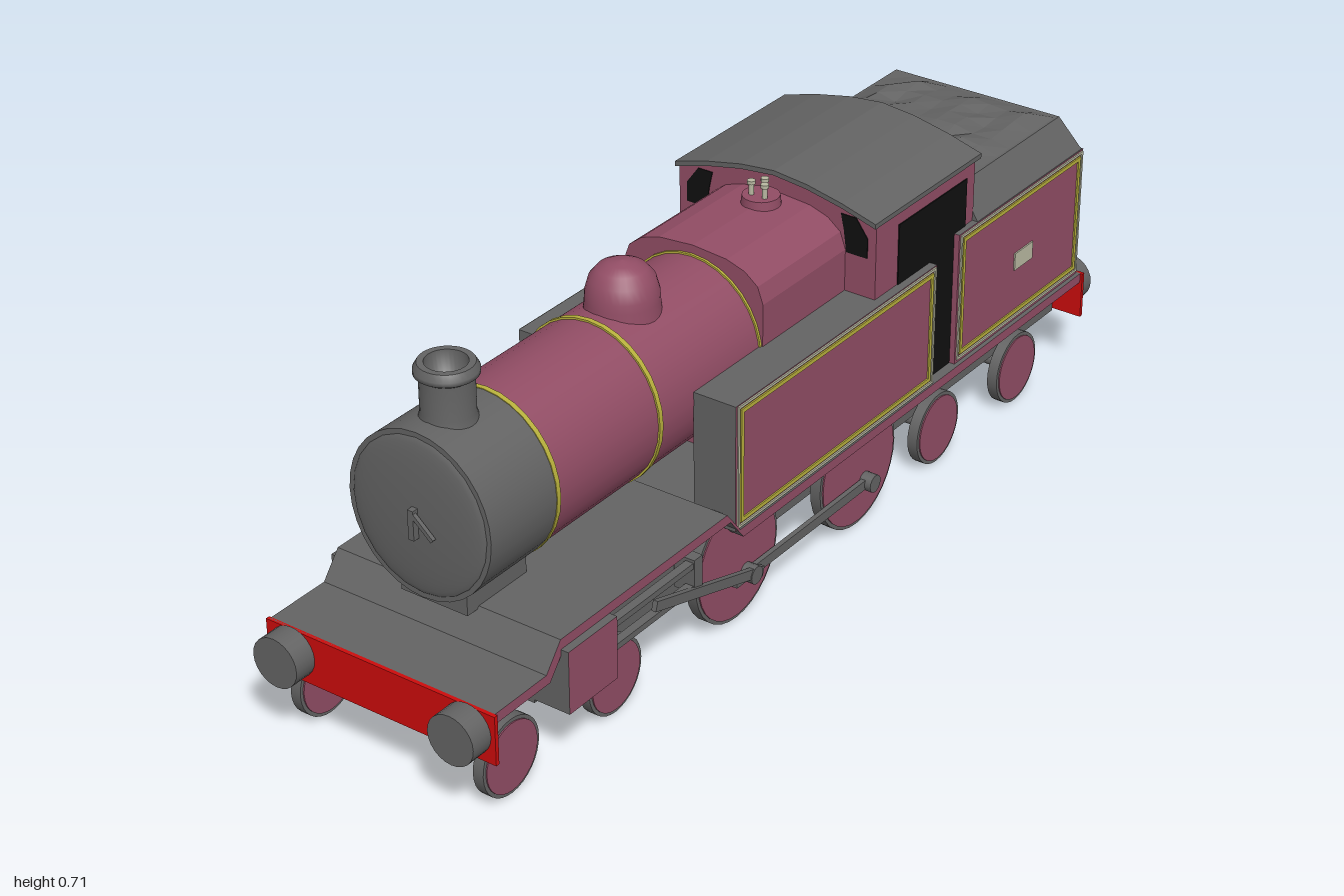
import * as THREE from 'three';

const mat = (name, color) => {
  const m = new THREE.MeshStandardMaterial({ color });
  m.name = name;
  return m;
};

export function createModel() {
  const model = new THREE.Group();
  model.name = 'tankLocomotive';
  const maroon = mat('maroon paint', 0x924d65);
  const grey = mat('grey metal', 0x636363);
  const red = mat('red buffer beam', 0xcc0c0c);
  const yellow = mat('yellow lining', 0xb8b03c);
  const pale = mat('pale lining', 0xb9b9a2);
  const black = mat('black interior', 0x101010);

  const add = (name, geo, material, x = 0, y = 0, z = 0) => {
    const m = new THREE.Mesh(geo, material);
    m.name = name;
    m.position.set(x, y, z);
    model.add(m);
    return m;
  };
  // box given by its limits on each axis
  const box = (name, material, x0, x1, y0, y1, z0, z1) =>
    add(name, new THREE.BoxGeometry(Math.abs(x1 - x0), y1 - y0, z1 - z0), material,
      (x0 + x1) / 2, (y0 + y1) / 2, (z0 + z1) / 2);
  const shape = (pts) => new THREE.Shape(pts.map(([a, b]) => new THREE.Vector2(a, b)));
  const extrude = (s, depth) => new THREE.ExtrudeGeometry(s, { depth, bevelEnabled: false });
  // (z, y) profile extruded across the model between x0 and x1
  const across = (pts, x0, x1) =>
    extrude(shape(pts), x1 - x0).rotateY(-Math.PI / 2).translate(x1, 0, 0);
  // thin rectangular outline facing +z
  const outline = (w, h, t) => {
    const r = (a, b) => [[-a, -b], [a, -b], [a, b], [-a, b]];
    const s = shape(r(w / 2, h / 2));
    s.holes.push(new THREE.Path(r(w / 2 - t, h / 2 - t).map(([a, b]) => new THREE.Vector2(a, b))));
    return extrude(s, 0.003);
  };
  const lining = (name, w, h, x, y, z, turn) => {
    add(name + 'PaleLine', outline(w, h, 0.005), pale, x, y, z).rotation.y = turn;
    add(name + 'YellowLine', outline(w - 0.018, h - 0.018, 0.008), yellow, x, y, z).rotation.y = turn;
  };

  // footplate with raised front section, maroon edges
  add('footplate', across([[-0.95, 0.2], [0.24, 0.2], [0.28, 0.25], [0.76, 0.25], [0.8, 0.2], [0.95, 0.2],
    [0.95, 0.22], [0.81, 0.22], [0.77, 0.27], [0.29, 0.27], [0.25, 0.22], [-0.95, 0.22]], -0.245, 0.245), [maroon, grey]);
  box('frame', grey, -0.185, 0.185, 0.117, 0.201, -0.945, 0.77);
  box('raisedFrame', grey, -0.185, 0.185, 0.2, 0.252, 0.27, 0.765);

  // buffer beams and buffers at both ends
  for (const e of [1, -1]) {
    box(e > 0 ? 'frontBeam' : 'rearBeam', red, -0.25, 0.25, 0.122, 0.22, e * 0.95 - 0.004, e * 0.95 + 0.004);
    for (const s of [1, -1]) {
      add('buffer', new THREE.CylinderGeometry(0.049, 0.049, 0.046, 24).rotateX(Math.PI / 2), grey, s * 0.192, 0.176, e * 0.977);
    }
  }

  // boiler, smokebox and bands share one oval section
  const CY = 0.454;
  const barrel = (name, material, r, z0, z1) => {
    const m = add(name, new THREE.CylinderGeometry(r, r, z1 - z0, 32).rotateX(Math.PI / 2), material, 0, CY, (z0 + z1) / 2);
    m.scale.y = 1.055;
    return m;
  };
  barrel('boiler', maroon, 0.151, -0.1, 0.65);
  barrel('smokebox', grey, 0.153, 0.65, 0.83);
  for (const z of [0.65, 0.36, 0.055]) barrel('boilerBand', yellow, 0.1545, z - 0.005, z + 0.005);
  const door = add('smokeboxDoor', new THREE.SphereGeometry(0.145, 24, 8, 0, Math.PI * 2, 0, Math.PI / 2).rotateX(Math.PI / 2), grey, 0, CY, 0.829);
  door.scale.set(1, 1.055, 0.1);
  box('doorHinge', grey, -0.004, 0.008, 0.42, 0.478, 0.838, 0.856);
  const handle = add('doorHandle', new THREE.BoxGeometry(0.058, 0.008, 0.008), grey, 0.025, 0.452, 0.852);
  handle.rotation.z = -0.72;
  box('saddle', grey, -0.075, 0.07, 0.265, 0.325, 0.64, 0.8);

  // chimney and dome
  const lathe = (pts, n = 32) => new THREE.LatheGeometry(pts.map(([a, b]) => new THREE.Vector2(a, b)), n);
  add('chimney', lathe([[0.056, 0.59], [0.048, 0.62], [0.048, 0.686], [0.048, 0.686], [0.057, 0.692], [0.057, 0.7],
    [0.05, 0.712], [0.05, 0.712], [0.038, 0.712], [0.038, 0.712], [0.036, 0.66], [0, 0.66]]), grey, 0, 0, 0.745);
  add('dome', lathe([[0.072, 0.58], [0.068, 0.62], [0.067, 0.637], [0.06, 0.662], [0.045, 0.68], [0.025, 0.69], [0, 0.694]]), maroon, 0, 0, 0.265);

  // firebox with rounded shoulders
  const firebox = shape([[-0.155, 0.22], [0.155, 0.22], [0.155, 0.56], [0.143, 0.593], [0.115, 0.615], [0.075, 0.628], [0, 0.634],
    [-0.075, 0.628], [-0.115, 0.615], [-0.143, 0.593], [-0.155, 0.56]]);
  add('firebox', extrude(firebox, 0.27), maroon, 0, 0, -0.215);
  add('valveBase', new THREE.CylinderGeometry(0.036, 0.038, 0.02, 20), maroon, 0, 0.639, -0.16);
  for (const [x, z] of [[0.015, -0.15], [-0.015, -0.15], [0, -0.172]]) {
    add('safetyValve', new THREE.CylinderGeometry(0.005, 0.005, 0.03, 10), pale, x, 0.66, z);
    add('safetyValveCap', new THREE.CylinderGeometry(0.008, 0.008, 0.007, 10), pale, x, 0.674, z);
  }

  // cab body and curved roof
  const arc = (dy, w) => [-1, -0.67, -0.33, 0, 0.33, 0.67, 1].map((t) => [t * w, 0.678 - 0.045 * Math.pow(Math.abs(t), 1.6) + dy]);
  add('cab', extrude(shape([[-0.222, 0.22], [0.222, 0.22], ...arc(-0.008, 0.222).reverse()]), 0.34), maroon, 0, 0, -0.55);
  add('cabRoof', extrude(shape([...arc(-0.007, 0.226), ...arc(0.003, 0.226).reverse()]), 0.365), grey, 0, 0, -0.565);

  for (const s of [1, -1]) {
    const turn = s * Math.PI / 2;
    // cab doorway and windows
    box('cabDoorway', black, s * 0.221, s * 0.2245, 0.22, 0.6, -0.52, -0.285);
    const win = [[0.145, 0.632], [0.178, 0.632], [0.204, 0.596], [0.204, 0.556], [0.158, 0.556], [0.152, 0.6]];
    add('frontWindow', extrude(shape(win.map(([a, b]) => [a * s, b])), 0.004), black, 0, 0, -0.212);
    add('rearWindow', new THREE.CylinderGeometry(0.03, 0.03, 0.006, 10).rotateX(Math.PI / 2), black, s * 0.155, 0.602, -0.55);

    // side tanks
    box('sideTank', [maroon, maroon, grey, grey, grey, grey], s * 0.15, s * 0.241, 0.218, 0.475, -0.395, 0.26);
    lining('sideTank', 0.645, 0.25, s * 0.241, 0.348, -0.0675, turn);

    // bunker side lining and number plate
    lining('bunkerSide', 0.455, 0.27, s * 0.236, 0.362, -0.7125, turn);
    box('bunkerPlate', pale, s * 0.235, s * 0.239, 0.335, 0.372, -0.757, -0.69);

    // cylinders and slide bars
    box('cylinderBlock', [maroon, maroon, grey, grey, grey, grey], s * 0.18, s * 0.261, 0.124, 0.25, 0.635, 0.77);
    for (const y of [0.155, 0.203]) box('slideBar', grey, s * 0.215, s * 0.232, y - 0.006, y + 0.006, 0.37, 0.64);
    box('barBracket', grey, s * 0.19, s * 0.234, 0.145, 0.215, 0.35, 0.375);

    // wheels: grey tyre and maroon disc
    const wheels = [[0.87, 0.075], [0.58, 0.075], [0.215, 0.127], [-0.18, 0.127], [-0.465, 0.075], [-0.76, 0.075]];
    for (const [z, r] of wheels) {
      const y = r + 0.002;
      add('wheelTyre', new THREE.CylinderGeometry(r, r, 0.022, 32).rotateZ(Math.PI / 2), grey, s * 0.202, y, z);
      add('wheelDisc', new THREE.CylinderGeometry(r - 0.007, r - 0.007, 0.027, 32).rotateZ(Math.PI / 2), maroon, s * 0.202, y, z);
      add('axle', new THREE.CylinderGeometry(0.012, 0.012, 0.2, 10).rotateZ(Math.PI / 2), grey, s * 0.1, y, z);
    }

    // coupling rod and connecting rod
    box('couplingRod', grey, s * 0.218, s * 0.228, 0.08, 0.1, -0.2, 0.235);
    const rod = add('connectingRod', new THREE.BoxGeometry(0.01, 0.02, 0.34), grey, s * 0.234, 0.135, 0.33);
    rod.rotation.x = -0.29;
    for (const z of [0.19, -0.2]) {
      add('crankPin', new THREE.CylinderGeometry(0.018, 0.018, 0.03, 14).rotateZ(Math.PI / 2), grey, s * 0.226, 0.09, z);
    }
  }

  // bunker with lined rear
  box('bunker', [maroon, maroon, grey, grey, maroon, maroon], -0.236, 0.236, 0.218, 0.5, -0.944, -0.48);
  lining('bunkerRear', 0.462, 0.27, 0, 0.362, -0.944, Math.PI);

  // sloping bunker rim: a box whose top is drawn inwards
  const rim = new THREE.BoxGeometry(0.468, 0.068, 0.392);
  const p = rim.attributes.position;
  for (let i = 0; i < p.count; i++) {
    if (p.getY(i) > 0) {
      p.setX(i, p.getX(i) * 0.82);
      if (p.getZ(i) < 0) p.setZ(i, p.getZ(i) + 0.022);
    }
  }
  rim.computeVertexNormals();
  add('bunkerRim', rim, grey, 0, 0.534, -0.744);

  // faceted coal heap
  let seed = 7;
  const rnd = () => (seed = (seed * 16807) % 2147483647) / 2147483647;
  const heap = new THREE.PlaneGeometry(0.374, 0.345, 9, 8).rotateX(-Math.PI / 2);
  const q = heap.attributes.position;
  for (let i = 0; i < q.count; i++) {
    const edge = Math.abs(q.getX(i)) > 0.18 || Math.abs(q.getZ(i)) > 0.17;
    q.setY(i, edge ? 0 : 0.003 + rnd() * 0.016);
  }
  const coal = heap.toNonIndexed();
  coal.computeVertexNormals();
  add('coal', coal, grey, 0, 0.5685, -0.735);

  return model;
}
